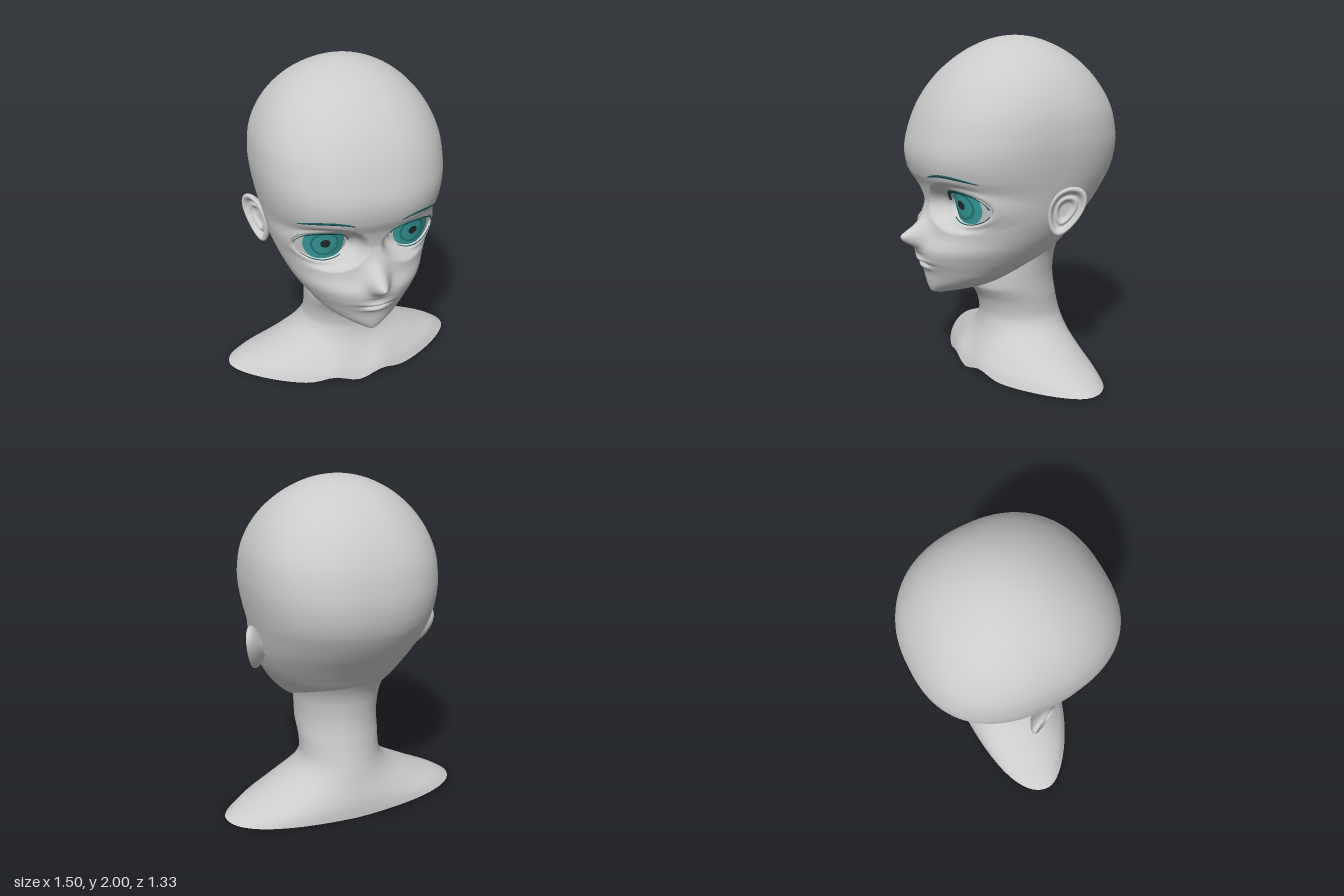
import * as THREE from 'three';
import { mergeVertices } from 'three/addons/utils/BufferGeometryUtils.js';

const material = (color) => new THREE.MeshStandardMaterial({ color, side: THREE.DoubleSide });
const SKIN = material(0xcccccc);
const TEAL = material(0x38a0a0), DEEP = material(0x237c7c), DARK = material(0x1b5557), PUPIL = material(0x252c2e);
const { smoothstep, lerp } = THREE.MathUtils;

// Smooth interpolation of table rows, keyed by their ascending first column.
function track(rows) {
  const slope = (i, c) => {
    const a = rows[Math.max(i - 1, 0)], b = rows[Math.min(i + 1, rows.length - 1)];
    return (b[c] - a[c]) / (b[0] - a[0]);
  };
  return (k) => {
    const last = rows.length - 1;
    if (k <= rows[0][0]) return rows[0].slice(1);
    if (k >= rows[last][0]) return rows[last].slice(1);
    let i = 0;
    while (rows[i + 1][0] < k) i++;
    const h = rows[i + 1][0] - rows[i][0], t = (k - rows[i][0]) / h, t2 = t * t, t3 = t2 * t;
    return rows[i].slice(1).map((v, j) => v * (2 * t3 - 3 * t2 + 1) + rows[i + 1][j + 1] * (3 * t2 - 2 * t3)
      + h * (slope(i, j + 1) * (t3 - 2 * t2 + t) + slope(i + 1, j + 1) * (t3 - t2)));
  };
}

// Smooth sheet through point(u, v), u and v running 0..1.
function sheet(name, mat, nu, nv, point) {
  const pos = [], index = [];
  for (let j = 0; j <= nv; j++) for (let i = 0; i <= nu; i++) {
    pos.push(...point(i / nu, j / nv));
    if (i < nu && j < nv) {
      const a = j * (nu + 1) + i, b = a + nu + 1;
      index.push(a, b, a + 1, a + 1, b, b + 1);
    }
  }
  let geo = new THREE.BufferGeometry();
  geo.setAttribute('position', new THREE.Float32BufferAttribute(pos, 3));
  geo.setIndex(index);
  geo = mergeVertices(geo, 1e-5);
  geo.computeVertexNormals();
  const mesh = new THREE.Mesh(geo, mat);
  mesh.name = name;
  return mesh;
}

const bell = (t, s) => Math.exp(-((t / s) ** 2));
const power = (t, n) => Math.sign(t) * Math.abs(t) ** (2 / n);

// Head slices: height, half width, front z, back z, squareness
const headTrack = track([
  [2, 0, -0.08, -0.08, 2], [1.96, 0.2, 0.115, -0.272, 2.05], [1.87, 0.35, 0.27, -0.425, 2.15],
  [1.75, 0.457, 0.395, -0.537, 2.28], [1.6, 0.525, 0.492, -0.62, 2.38], [1.45, 0.543, 0.55, -0.657, 2.42],
  [1.35, 0.537, 0.57, -0.66, 2.42], [1.25, 0.522, 0.555, -0.64, 2.38], [1.17, 0.507, 0.52, -0.605, 2.28],
  [1.08, 0.49, 0.5, -0.55, 2.2], [1, 0.472, 0.508, -0.49, 2.15], [0.9, 0.435, 0.525, -0.415, 2.1],
  [0.82, 0.395, 0.56, -0.355, 2.05], [0.75, 0.35, 0.553, -0.28, 2], [0.7, 0.31, 0.53, -0.18, 2],
  [0.65, 0.265, 0.512, -0.08, 2], [0.6, 0.2, 0.504, 0, 2], [0.56, 0.125, 0.495, 0.05, 2],
  [0.53, 0.05, 0.475, 0.12, 2], [0.515, 0.002, 0.42, 0.2, 2],
].map(([y, ...r]) => [Math.sqrt(2 - y), ...r]));
const headAt = (y) => headTrack(Math.sqrt(Math.max(2 - y, 0)));

const noseTrack = track([[0.78, 0], [0.82, 0.03], [0.865, 0.115], [0.89, 0.14], [0.91, 0.125],
  [0.95, 0.065], [1, 0.02], [1.08, 0]]);

const EYE = { x: 0.268, y: 1.085, rx: 0.142, ry: 0.092 };
const eyeDistance = (x, y) => ((Math.abs(x) - EYE.x) / EYE.rx) ** 2 + ((y - EYE.y) / EYE.ry) ** 2;

// Depth of the face: the slice outline, easing into forward-facing eye sockets
function faceZ(x, y) {
  const [w, f, b, n] = headAt(y), u = Math.min(Math.abs(x) / Math.max(w, 1e-6), 1);
  const outline = (f + b) / 2 + (f - b) / 2 * (1 - u ** n) ** (1 / n);
  const socket = 0.42 + 0.25 * (y - EYE.y) - 3 * (Math.abs(x) - 0.22) ** 2;
  return lerp(socket, outline, smoothstep(eyeDistance(x, y), 0.9, 2.7));
}

// Nose, lips, lids and the hollow behind each eye
function relief(x, y) {
  const q = eyeDistance(x, y), mouth = y - 0.3 * x * x;
  const lips = 0.014 * bell(mouth - 0.742, 0.014) - 0.016 * bell(mouth - 0.719, 0.009)
    + 0.014 * bell(mouth - 0.695, 0.014);
  return noseTrack(y)[0] * bell(x, 0.058) + lips * bell(x, 0.075)
    - 0.035 * (1 - smoothstep(q, 0.85, 1.15)) + 0.01 * bell(q - 1.35, 0.3);
}

function makeHead() {
  return sheet('head', SKIN, 160, 170, (u, v) => {
    const t = (u * 2 - 1) * Math.PI, a = t - 0.55 * Math.sin(t);
    const y = v < 0.26 ? 2 - 0.7 * (v / 0.26) ** 2 : 1.3 - 0.785 * (v - 0.26) / 0.74;
    const [w, f, b, n] = headAt(y);
    const x = w * power(Math.sin(a), n), c = Math.cos(a);
    return [x, y, c > 0 ? faceZ(x, y) + relief(x, y) : (f + b) / 2 + (f - b) / 2 * power(c, n)];
  });
}

// Neck easing out of the skull and flaring into open shoulders
function makeNeck() {
  const neck = track([
    [0.95, 0.345, 0.1, -0.44], [0.9, 0.325, 0.13, -0.41], [0.85, 0.305, 0.155, -0.377], [0.8, 0.287, 0.175, -0.349],
    [0.75, 0.272, 0.19, -0.33], [0.7, 0.262, 0.2, -0.32], [0.6, 0.253, 0.215, -0.315], [0.53, 0.251, 0.213, -0.321],
    [0.5, 0.25, 0.195, -0.325], [0.45, 0.247, 0.163, -0.335], [0.4, 0.244, 0.145, -0.345], [0.34, 0.246, 0.135, -0.36],
    [0.3, 0.26, 0.138, -0.37], [0.25, 0.3, 0.15, -0.383], [0.2, 0.37, 0.17, -0.395], [0.15, 0.465, 0.195, -0.408],
    [0.1, 0.565, 0.222, -0.419], [0.05, 0.675, 0.25, -0.424], [0, 0.75, 0.27, -0.425],
  ].map(([y, ...r]) => [1 - y, ...r]));
  return sheet('neckAndShoulders', SKIN, 96, 76, (u, v) => {
    const a = (u * 2 - 1) * Math.PI, y = 0.95 * (1 - v);
    const [w, f, b] = neck(1 - y);
    const x = w * Math.sin(a), c = Math.cos(a), low = smoothstep(v, 0.75, 1), front = Math.max(c, 0);
    const z = (f + b) / 2 + (f - b) / 2 * c - 0.07 * low * (1 + 1.3 * front) * (x / 0.75) ** 2;
    // collar bones lift the front edge on both sides of the throat
    return [x, y + 0.04 * front * low * bell(Math.abs(x) - 0.16, 0.1) + 0.025 * low * Math.abs(x), z];
  });
}

// Disc in the eye socket, kept inside the eye opening
function eyeDisc(name, mat, cx, cy, rx, ry, depth, limit) {
  return sheet(name, mat, 48, 10, (u, v) => {
    const a = u * 2 * Math.PI;
    let x = cx + rx * v * Math.cos(a), y = cy + ry * v * Math.sin(a);
    const q = Math.sqrt(eyeDistance(x, y) / limit);
    if (q > 1) {
      x = EYE.x + (x - EYE.x) / q;
      y = EYE.y + (y - EYE.y) / q;
    }
    return [x, y, faceZ(x, y) - depth];
  });
}

// Tapered strip along a curve, standing off the face
function strip(name, mat, curve, width, lift, flare) {
  return sheet(name, mat, 40, 6, (u, v) => {
    const [x, y0] = curve(u);
    const t = v * 2 - 1, half = width * Math.sin(Math.PI * (0.06 + 0.88 * u)) ** 0.6;
    const y = y0 + t * half;
    return [x, y, faceZ(x, y) + lift + flare * v + 0.006 * (1 - t * t)];
  });
}

function makeEye() {
  const eye = new THREE.Group();
  eye.name = 'eye';
  const arc = (from, to, k) => (u) => {
    const a = from + (to - from) * u;
    return [EYE.x + EYE.rx * k * Math.cos(a), EYE.y + EYE.ry * k * Math.sin(a)];
  };
  eye.add(
    eyeDisc('eyeWhite', SKIN, EYE.x, EYE.y, EYE.rx * 1.06, EYE.ry * 1.06, 0.016, 1.2),
    eyeDisc('iris', TEAL, 0.258, 1.095, 0.112, 0.112, 0.013, 0.98),
    eyeDisc('irisRing', DEEP, 0.258, 1.095, 0.078, 0.078, 0.011, 0.98),
    eyeDisc('irisCentre', TEAL, 0.258, 1.095, 0.066, 0.066, 0.009, 0.98),
    eyeDisc('pupil', PUPIL, 0.258, 1.1, 0.027, 0.027, 0.007, 0.98),
    strip('upperLash', DARK, arc(0.1, 2.95, 1.02), 0.009, 0.002, 0.014),
    strip('lowerLash', DARK, arc(-0.35, -2.3, 1.02), 0.003, 0.002, 0),
    strip('eyebrow', DARK, (u) => [0.133 + 0.275 * u, 1.25 + 0.1 * u * (1 - u) - 0.014 * u], 0.008, 0.004, 0),
  );
  return eye;
}

// Cupped ear, hinged at its front edge and turned outward
function makeEar() {
  // radius and height from the bowl over the rim to the back
  const profile = track([[0, 0, -0.034], [0.15, 0.3, -0.032], [0.28, 0.5, -0.012], [0.4, 0.66, -0.018],
    [0.55, 0.85, 0.008], [0.65, 0.96, 0.008], [0.75, 1, -0.006], [0.85, 0.93, -0.024], [0.92, 0.72, -0.045],
    [1, 0.35, -0.07]]);
  return sheet('ear', SKIN, 48, 40, (u, v) => {
    const a = u * 2 * Math.PI, [r, h] = profile(v);
    const p = 0.097 * r * Math.cos(a) * (1 + 0.25 * Math.sin(a)), q = 0.14 * r * Math.sin(a);
    return [0.53 + 0.46 * p + 0.17 * q + 0.89 * h, 1.06 + q, -0.097 - 0.89 * p - 0.25 * q + 0.46 * h];
  });
}

export function createModel() {
  const model = new THREE.Group();
  model.name = 'headBust';
  model.add(makeHead(), makeNeck());
  for (const [side, sign] of [['left', 1], ['right', -1]]) {
    const features = new THREE.Group();
    features.name = side + 'Features';
    features.add(makeEye(), makeEar());
    features.scale.x = sign;
    model.add(features);
  }
  return model;
}
